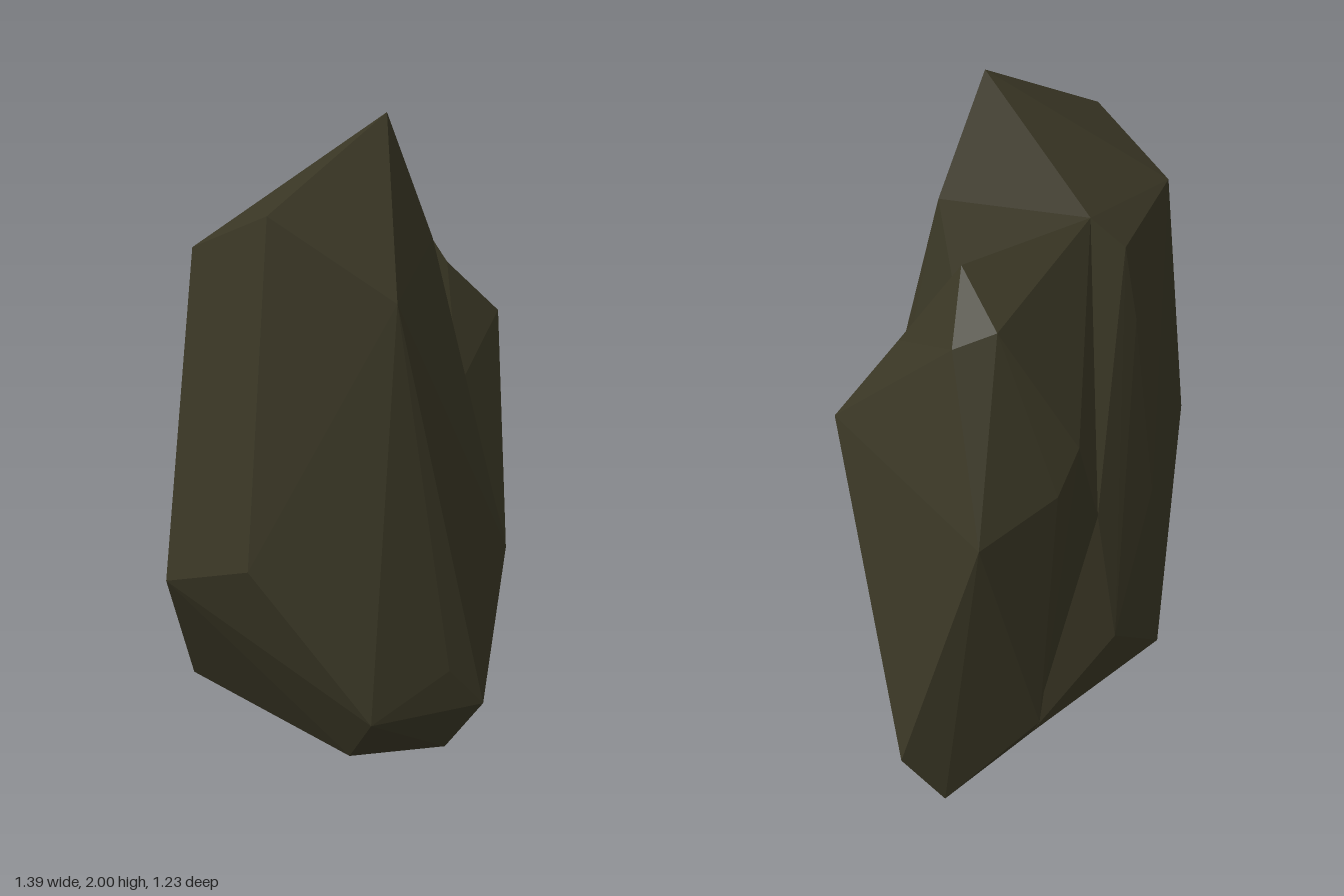
import * as THREE from 'three';
import { ConvexGeometry } from 'three/addons/geometries/ConvexGeometry.js';

const stone = new THREE.MeshStandardMaterial({ color: 0x3a3725, flatShading: true });
stone.name = 'dark olive stone';

const v = (x, y, z) => new THREE.Vector3(x, y, z);

// Corners shared by neighbouring boulders, so the clefts between them close
const saddle = v(-0.13, 1.68, -0.165);
const cleftFoot = v(0.33, 0.79, 0.28);
const cleftLip = v(0.34, 0.67, 0.38);
const frontShoulder = v(0.37, 0.625, 0.36);
const frontToe = v(0.11, 0.27, 0.61);
const backCleft = v(-0.05, 0.79, -0.375);
const backBulge = v(-0.09, 0.35, -0.43);
const backFoot = v(0.22, 0.1, -0.45);
const ridge = v(0.335, 1.09, 0.14);
const shoulderNotch = v(0.465, 1.42, -0.115);
const rearTop = v(0.44, 1.53, -0.4);
const rearCrest = v(0.32, 1.565, -0.435);
const rearCorner = v(0.105, 1.17, -0.515);
const frontHip = v(0.465, 0.585, 0.235);
const innerFoot = v(0.13, 0.11, -0.03);

function boulder(name, points) {
  const mesh = new THREE.Mesh(new ConvexGeometry(points), stone);
  mesh.name = name;
  return mesh;
}

export function createModel() {
  const rock = new THREE.Group();
  rock.name = 'rock';

  // Tall front boulder with the pointed peak
  rock.add(boulder('tallBoulder', [
    v(-0.02, 2, 0.26), v(-0.46, 1.775, 0.345), v(-0.16, 1.53, 0.53), v(-0.52, 1.63, 0.025),
    v(0.14, 1.62, 0.265), v(0.21, 1.29, 0.27), v(-0.22, 1.585, -0.215), v(-0.25, 1.35, -0.24),
    v(-0.7, 0.69, 0.15), v(-0.58, 0.79, 0.42), v(-0.3, 0.75, -0.29),
    v(-0.02, 0.415, 0.615), v(-0.29, 0.31, 0.61), v(-0.49, 0.23, -0.1),
    v(-0.34, 0.135, -0.3), v(-0.255, 0.12, 0.44), v(0.03, 0.11, 0.53),
    saddle, cleftFoot, cleftLip, frontShoulder, frontToe,
    backCleft, backBulge, backFoot, innerFoot,
  ]));

  // Wedge at the front that joins the two boulders below the cleft
  rock.add(boulder('frontWedge', [
    cleftFoot, cleftLip, frontShoulder, frontToe, frontHip, innerFoot,
  ]));

  // Upper part of the rear boulder, leaning on the saddle
  rock.add(boulder('rearBoulderTop', [
    v(0.34, 1.7, -0.27), rearCrest, rearCorner, rearTop, shoulderNotch,
    saddle, ridge, cleftFoot, frontHip, backCleft, backFoot, innerFoot,
  ]));

  // Broad lower part of the rear boulder
  rock.add(boulder('rearBoulderBase', [
    v(0.67, 1.23, -0.11), v(0.69, 0.24, -0.5), v(0.56, 0.04, -0.52), v(0.29, 0, -0.13),
    v(0.48, 1.01, -0.615), v(0.205, 1.07, -0.57), v(0.22, 0.65, -0.55), v(0.24, 0.22, -0.535),
    rearTop, rearCrest, rearCorner, shoulderNotch, ridge, frontHip, backFoot, innerFoot,
  ]));

  return rock;
}
